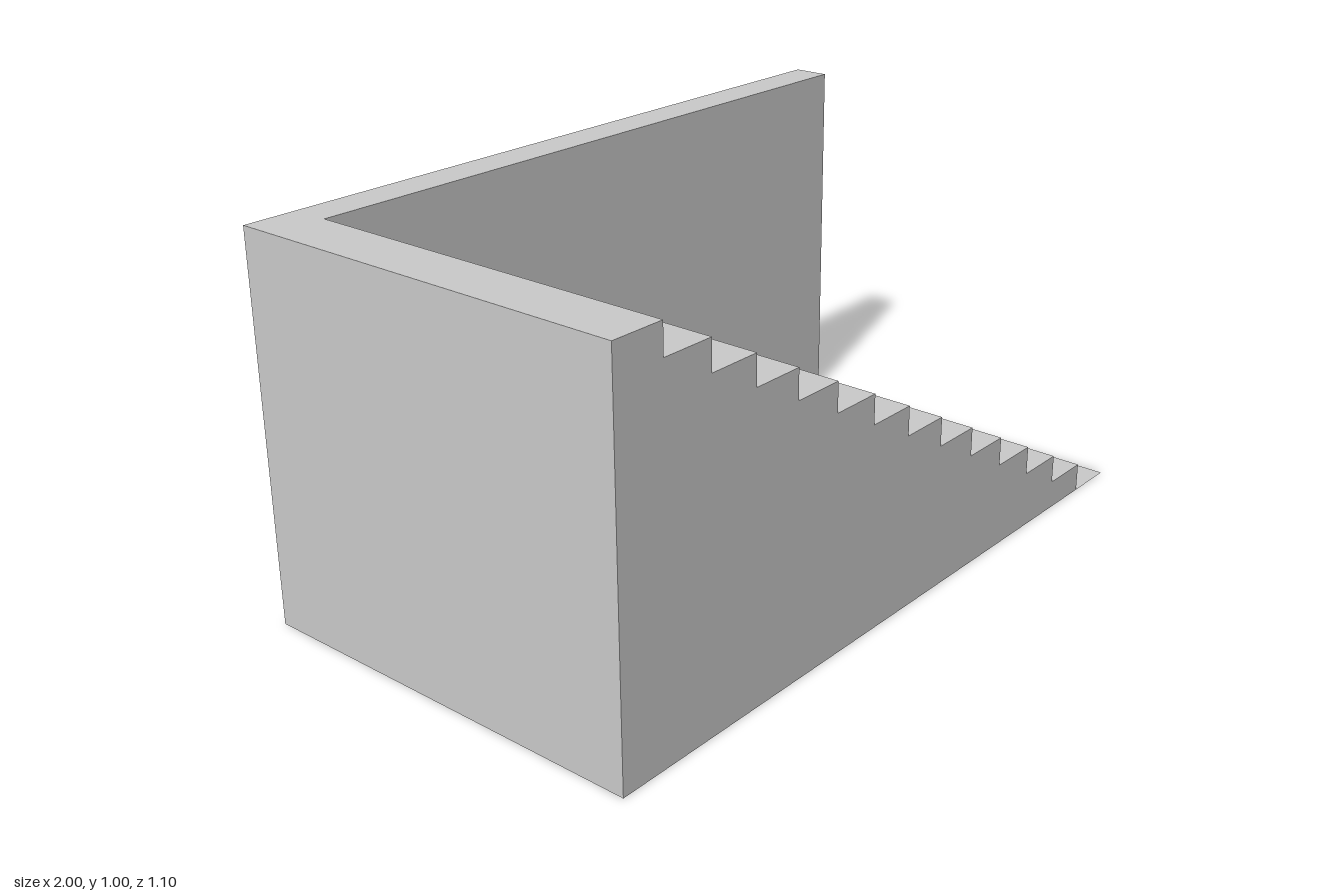
import * as THREE from 'three';

const STEPS = 13;
const RUN = 2 / (STEPS + 1);
const RISE = 1 / STEPS;
const BACK = -0.55, WALL_FRONT = -0.45, FRONT = 0.55;

export function createModel() {
  const group = new THREE.Group();
  const material = new THREE.MeshStandardMaterial({ color: 0xcccccc, flatShading: true });
  const add = (name, geometry, mat = material) => {
    const mesh = new THREE.Mesh(geometry, mat);
    mesh.name = name;
    group.add(mesh);
    return mesh;
  };

  // Solid flight: stepped profile climbing towards -x, extruded along z
  const footX = 1 - RUN;
  const profile = new THREE.Shape();
  profile.moveTo(-1, 0);
  profile.lineTo(footX, 0);
  for (let i = 0; i < STEPS; i++) {
    const x = footX - i * RUN, y = (i + 1) * RISE;
    profile.lineTo(x, y);
    profile.lineTo(x - RUN, y);
  }
  const depth = FRONT - WALL_FRONT;
  const flight = new THREE.ExtrudeGeometry(profile, { depth, bevelEnabled: false });
  add('stairFlight', flight).position.z = WALL_FRONT;

  // Full-height wall along the back
  const wall = new THREE.BoxGeometry(2, 1, WALL_FRONT - BACK);
  add('backWall', wall).position.set(0, 0.5, (WALL_FRONT + BACK) / 2);

  // Paper-thin landing at the foot of the stairs
  const landing = new THREE.PlaneGeometry(RUN, depth).rotateX(-Math.PI / 2);
  const thin = material.clone();
  thin.side = THREE.DoubleSide;
  add('bottomLanding', landing, thin).position.set(1 - RUN / 2, 0, (FRONT + WALL_FRONT) / 2);

  return group;
}
